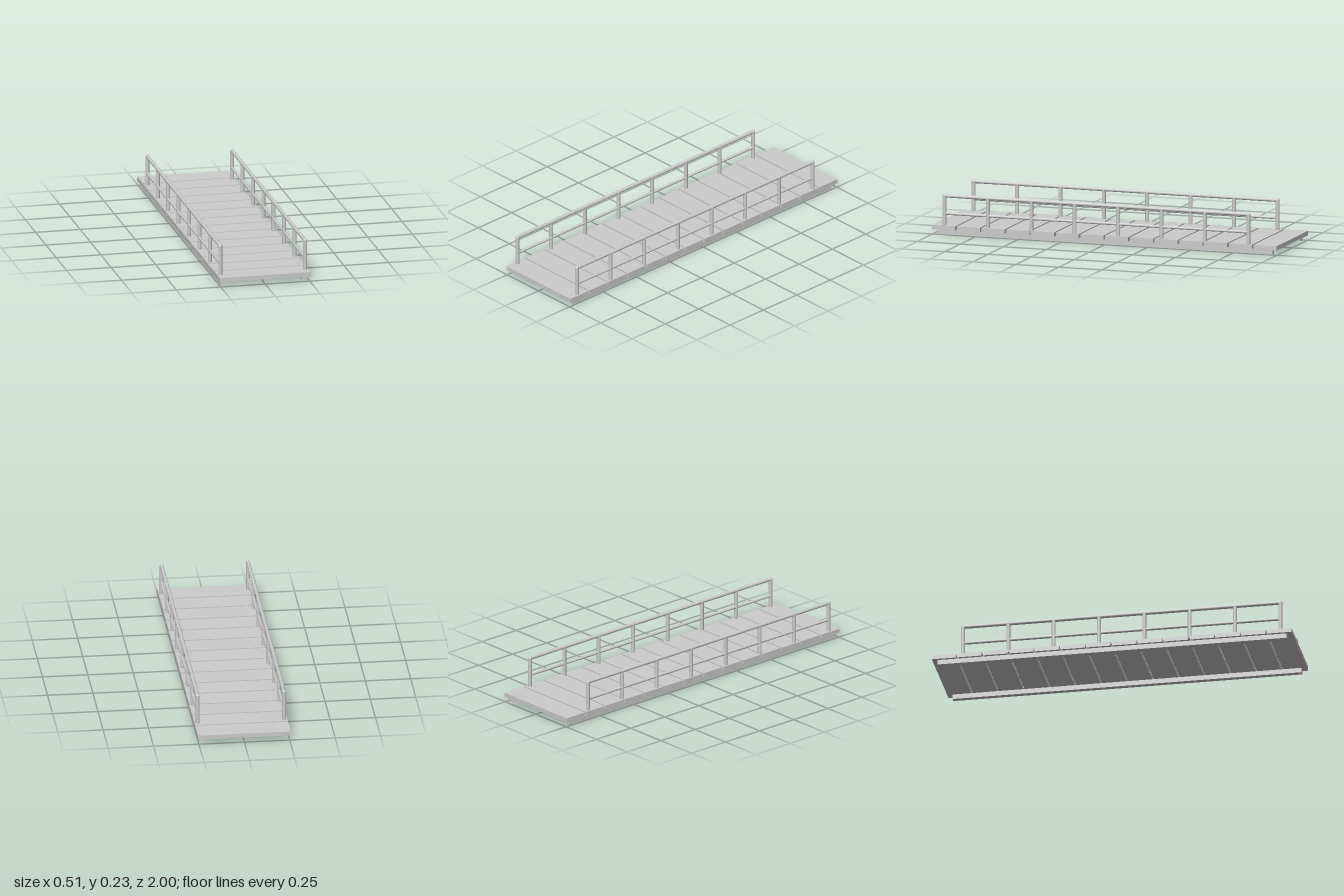
import * as THREE from 'three';

export function createModel() {
  const group = new THREE.Group();
  const material = new THREE.MeshStandardMaterial({ color: 0xcccccc });

  function add(name, geometry, x, y, z, parent = group) {
    const mesh = new THREE.Mesh(geometry, material);
    mesh.name = name;
    mesh.position.set(x, y, z);
    parent.add(mesh);
    return mesh;
  }

  // Deck planks, separated by narrow gaps
  const plankCount = 14, pitch = 0.1436, depth = 2 - pitch * (plankCount - 1);
  const plankGeometry = new THREE.BoxGeometry(0.512, 0.024, depth);
  for (let i = 0; i < plankCount; i++) {
    add('plank', plankGeometry, 0, 0.039, 1 - depth / 2 - i * pitch);
  }

  // Railing measurements
  const frontZ = 0.935, backZ = -0.83, postCount = 8;
  const length = frontZ - backZ, midZ = (frontZ + backZ) / 2;
  const postRadius = 0.011, topY = 0.215, baseY = 0.04;

  const beamGeometry = new THREE.BoxGeometry(0.028, 0.027, 1.94);
  const postGeometry = new THREE.CylinderGeometry(postRadius, postRadius, topY - baseY, 20);
  const capGeometry = new THREE.SphereGeometry(postRadius, 20, 8, 0, Math.PI * 2, 0, Math.PI / 2);
  const topRailGeometry = new THREE.CylinderGeometry(0.01, 0.01, length, 20).rotateX(Math.PI / 2);
  const midRailGeometry = new THREE.CylinderGeometry(0.008, 0.008, length, 20).rotateX(Math.PI / 2);

  for (const side of [1, -1]) {
    const label = side > 0 ? 'left' : 'right';

    // Bearer beam under the deck
    add(label + 'Beam', beamGeometry, side * 0.227, 0.0135, 0);

    // Railing: round posts with domed tops, handrail and middle rail
    const railing = new THREE.Group();
    railing.name = label + 'Railing';
    railing.position.x = side * 0.238;
    group.add(railing);
    for (let i = 0; i < postCount; i++) {
      const z = frontZ - (i * length) / (postCount - 1);
      add('post', postGeometry, 0, (topY + baseY) / 2, z, railing);
      add('postCap', capGeometry, 0, topY, z, railing);
    }
    add('handrail', topRailGeometry, 0, topY, midZ, railing);
    add('middleRail', midRailGeometry, 0, 0.117, midZ, railing);
  }
  return group;
}
